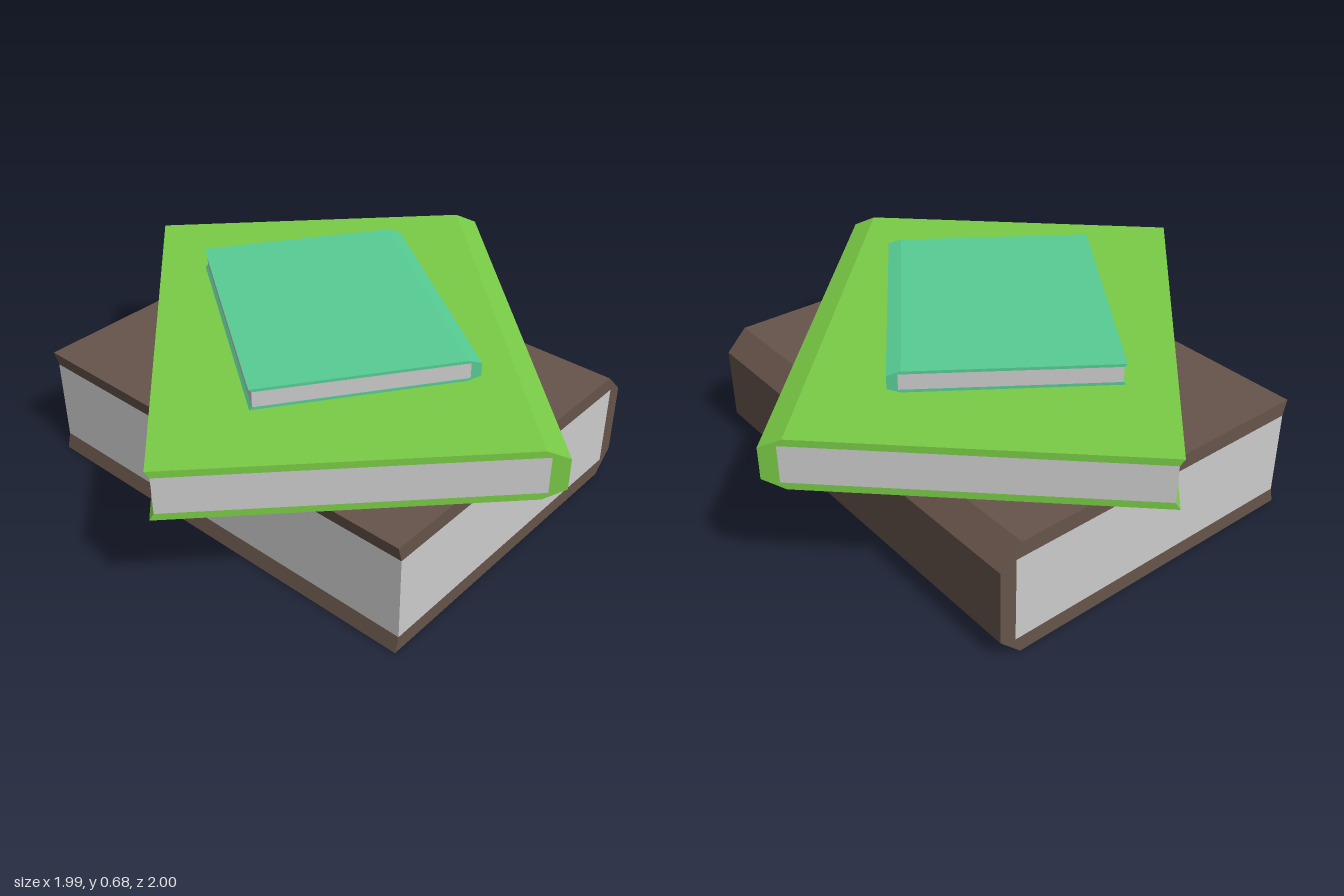
import * as THREE from 'three';

// Closed book lying flat: spine on local +x, page ends on local +z and -z
function makeBook(name, color, width, height, depth) {
  const book = new THREE.Group();
  book.name = name;
  const w = width / 2;
  const chamferX = width * 0.062, chamferY = height * 0.185;
  const board = height * 0.135; // cover thickness
  const pageLeft = -w + width * 0.012, pageRight = w - width * 0.047;

  // Cover: C-shaped section with a chamfered spine and sloped fore edges
  const section = new THREE.Shape([
    [-w, 0], [w - chamferX, 0], [w, chamferY], [w, height - chamferY],
    [w - chamferX, height], [-w, height], [pageLeft, height - board],
    [pageRight, height - board], [pageRight, board], [pageLeft, board],
  ].map(([x, y]) => new THREE.Vector2(x, y)));
  const coverGeometry = new THREE.ExtrudeGeometry(section, { depth, bevelEnabled: false });
  coverGeometry.translate(0, 0, -depth / 2);
  const cover = new THREE.Mesh(coverGeometry,
    new THREE.MeshStandardMaterial({ color, flatShading: true }));
  cover.name = name + 'Cover';

  // Pages: block flush with the cover at both ends
  const pages = new THREE.Mesh(
    new THREE.BoxGeometry(pageRight - pageLeft, height - 2 * board, depth),
    new THREE.MeshStandardMaterial({ color: 0xcccccc, flatShading: true }));
  pages.name = name + 'Pages';
  pages.position.set((pageLeft + pageRight) / 2, height / 2, 0);

  book.add(cover, pages);
  return book;
}

export function createModel() {
  const stack = new THREE.Group();
  stack.name = 'bookStack';

  // Thick book at the bottom
  const bottom = makeBook('bottomBook', 0x66544a, 1.24, 0.42, 1.58);
  bottom.position.set(0.01, 0, -0.03);

  // Thinner book turned across it
  const middle = makeBook('middleBook', 0x7acc46, 1.24, 0.18, 1.58);
  middle.position.set(0, 0.42, -0.003);
  middle.rotation.y = THREE.MathUtils.degToRad(-44);

  // Small book on top
  const top = makeBook('topBook', 0x57cc94, 0.742, 0.075, 0.946);
  top.position.set(-0.012, 0.607, -0.018);
  top.rotation.y = THREE.MathUtils.degToRad(-35.4);

  stack.add(bottom, middle, top);
  return stack;
}
